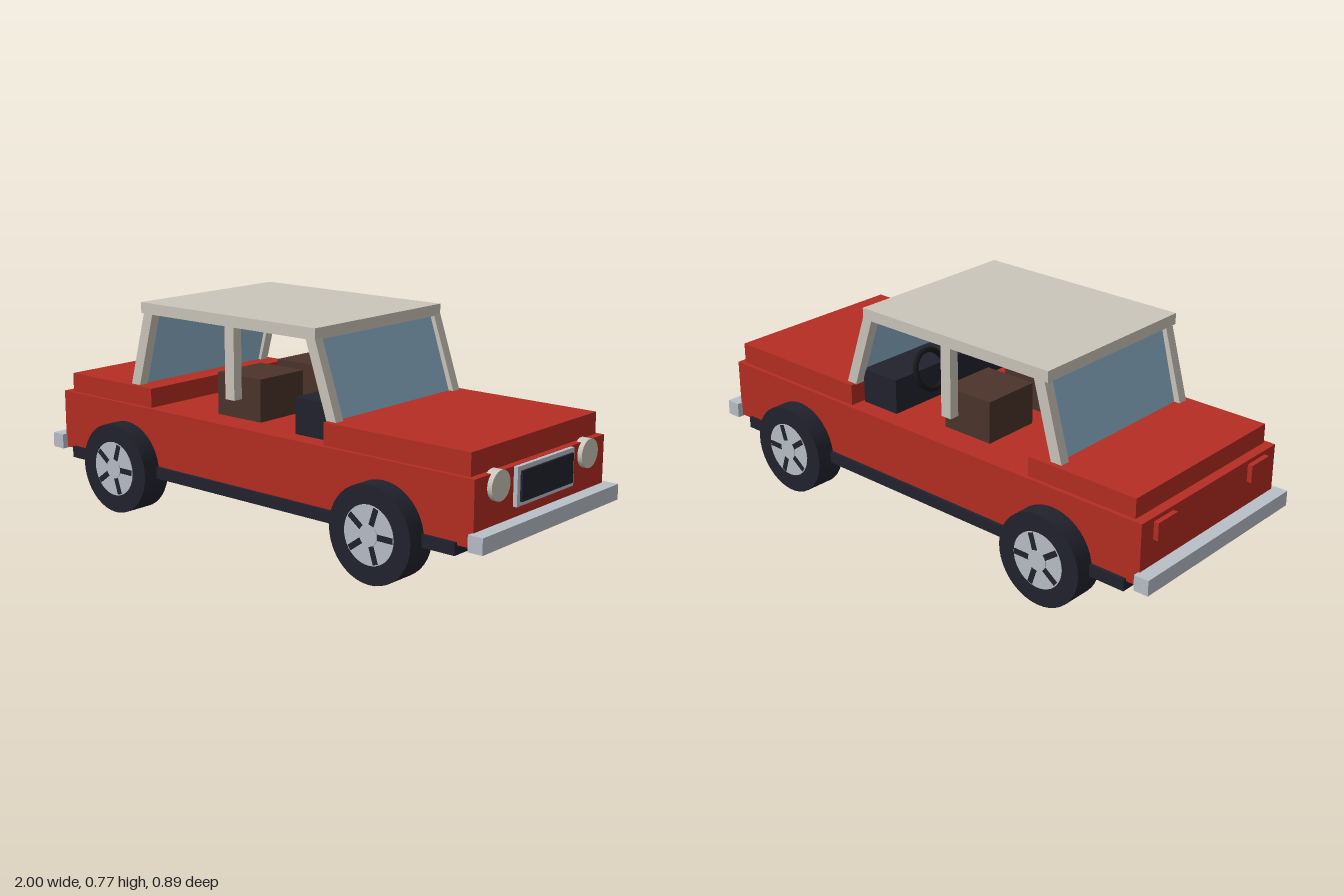
import * as THREE from 'three';

const mat = (name, color) => {
  const m = new THREE.MeshStandardMaterial({ color });
  m.name = name;
  return m;
};

export function createModel() {
  const red = mat('red paint', 0xb52d22);
  const cream = mat('cream', 0xcbc6bb);
  const silver = mat('silver', 0xb9bfc8);
  const dark = mat('dark rubber', 0x22222e);
  const black = mat('black plastic', 0x17171c);
  const brown = mat('brown seat', 0x4b342b);
  const glass = mat('window glass', 0x8fb3cc);

  const car = new THREE.Group();
  car.name = 'car';

  const add = (name, geometry, material, parent = car) => {
    const mesh = new THREE.Mesh(geometry, material);
    mesh.name = name;
    parent.add(mesh);
    return mesh;
  };
  // Box given by its limits on each axis
  const box = (name, material, [x0, x1], [y0, y1], [z0, z1], parent = car) => {
    const m = add(name, new THREE.BoxGeometry(x1 - x0, y1 - y0, z1 - z0), material, parent);
    m.position.set((x0 + x1) / 2, (y0 + y1) / 2, (z0 + z1) / 2);
    return m;
  };
  // Side outline in x and y, extruded from z0 to z1
  const slab = (name, material, points, z0, z1) => {
    const shape = new THREE.Shape(points.map(([x, y]) => new THREE.Vector2(x, y)));
    const g = new THREE.ExtrudeGeometry(shape, { depth: z1 - z0, bevelEnabled: false });
    g.translate(0, 0, z0);
    return add(name, g, material);
  };

  // Bodywork, nose towards +x
  box('chassis', dark, [-0.9, 0.89], [0.148, 0.19], [-0.385, 0.385]);
  box('body', red, [-0.95, 0.95], [0.18, 0.398], [-0.373, 0.373]);
  box('hood', red, [0.338, 0.925], [0.39, 0.475], [-0.358, 0.358]);
  box('trunkLid', red, [-0.915, -0.483], [0.39, 0.468], [-0.358, 0.358]);
  box('frontBumper', silver, [0.945, 1], [0.175, 0.23], [-0.395, 0.395]);
  box('rearBumper', silver, [-1, -0.945], [0.175, 0.23], [-0.395, 0.395]);

  // Roof and sloping windows
  box('roof', cream, [-0.545, 0.285], [0.735, 0.775], [-0.339, 0.339]);
  const sloped = (xb, yb, xt, half) =>
    [[xb - half, yb], [xb + half, yb], [xt + half, 0.74], [xt - half, 0.74]];
  slab('windshield', glass, sloped(0.354, 0.47, 0.264, 0.004), -0.303, 0.303);
  slab('rearWindow', glass, sloped(-0.58, 0.465, -0.508, 0.004), -0.303, 0.303);

  // Grille
  box('grilleFrame', silver, [0.94, 0.965], [0.267, 0.397], [-0.164, 0.164]);
  box('grille', dark, [0.95, 0.973], [0.282, 0.382], [-0.148, 0.148]);

  // Parts repeated on both sides
  for (const s of [1, -1]) {
    const z0 = s > 0 ? 0.302 : -0.339;
    const z1 = z0 + 0.037;
    slab('frontPillar', cream, sloped(0.356, 0.472, 0.264, 0.021), z0, z1);
    slab('rearPillar', cream, sloped(-0.585, 0.465, -0.508, 0.022), z0, z1);
    box('middlePillar', cream, [-0.126, -0.083], [0.48, 0.74], [z0, z1]);

    const lamp = add('headlight', new THREE.CylinderGeometry(0.05, 0.05, 0.035, 32), cream);
    lamp.rotation.z = -Math.PI / 2;
    lamp.position.set(0.95, 0.358, s * 0.257);

    const zt = s * 0.26;
    box('tailLight', red, [-0.968, -0.94], [0.32, 0.383], [zt - 0.05, zt + 0.05]);

    const zs = s * 0.155;
    box('seat', brown, [-0.235, -0.03], [0.39, 0.55], [zs - 0.11, zs + 0.11]);
  }

  // Dashboard and tilted steering wheel
  box('dashboard', dark, [0.168, 0.328], [0.39, 0.525], [-0.305, 0.305]);
  const steering = add('steeringWheel', new THREE.TorusGeometry(0.07, 0.01, 10, 32), black);
  steering.position.set(0.145, 0.528, -0.155);
  steering.lookAt(0.145 - 0.945, 0.528 + 0.326, -0.155);

  // Wheels with a silver disc, five dark slots and a centre cap
  const disc = (name, material, r, width, parent) => {
    const m = add(name, new THREE.CylinderGeometry(r, r, width, 40), material, parent);
    m.rotation.x = Math.PI / 2;
  };
  for (const x of [0.6, -0.6]) {
    for (const s of [1, -1]) {
      const wheel = new THREE.Group();
      wheel.name = 'wheel';
      wheel.position.set(x, 0.167, s * 0.386);
      car.add(wheel);
      disc('tire', dark, 0.165, 0.112, wheel);
      disc('rim', silver, 0.1, 0.116, wheel);
      disc('hubCap', silver, 0.036, 0.122, wheel);
      for (let i = 0; i < 5; i++) {
        const spoke = new THREE.Group();
        spoke.name = 'rimSlot';
        spoke.rotation.z = (i * Math.PI * 2) / 5;
        wheel.add(spoke);
        box('slot', dark, [0.036, 0.096], [-0.01, 0.01], [-0.06, 0.06], spoke);
      }
    }
  }
  return car;
}
